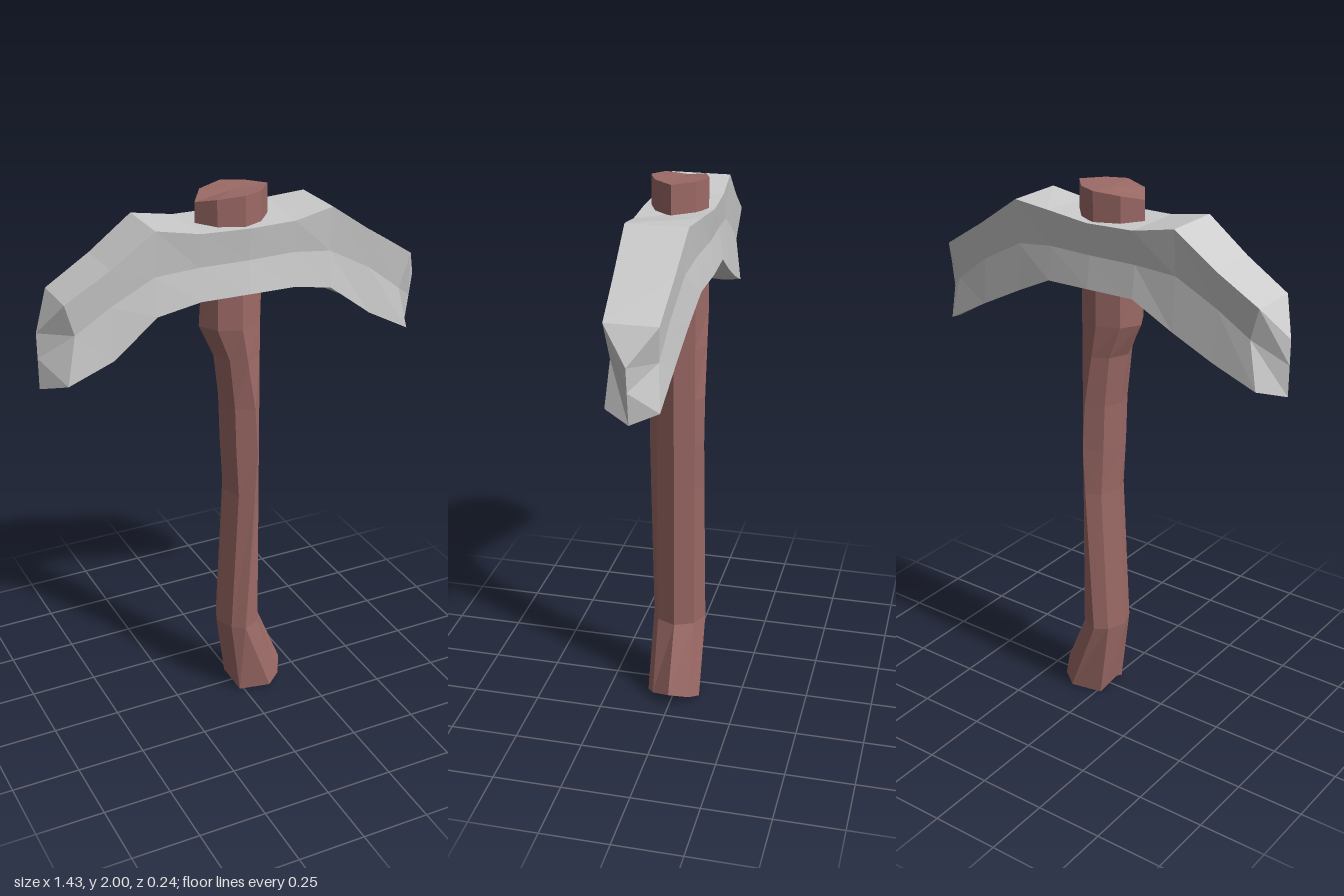
import * as THREE from 'three';

// Skins a list of equal-length rings with flat facets, optionally capping both ends.
function loft(rings, capped) {
  const pos = [];
  const tri = (a, b, c) => {
    const u = b.clone().sub(a), v = c.clone().sub(a);
    if (u.cross(v).length() > 1e-7) for (const p of [a, b, c]) pos.push(p.x, p.y, p.z);
  };
  const n = rings[0].length;
  for (let k = 0; k + 1 < rings.length; k++) {
    const a = rings[k], b = rings[k + 1];
    for (let i = 0; i < n; i++) {
      const j = (i + 1) % n;
      tri(a[i], a[j], b[j]);
      tri(a[i], b[j], b[i]);
    }
  }
  if (capped) {
    [rings[0], rings[rings.length - 1]].forEach((ring, end) => {
      const c = new THREE.Vector3();
      ring.forEach(p => c.addScaledVector(p, 1 / n));
      ring.forEach((p, i) => {
        const q = ring[(i + 1) % n];
        end ? tri(c, p, q) : tri(c, q, p);
      });
    });
  }
  const g = new THREE.BufferGeometry();
  g.setAttribute('position', new THREE.Float32BufferAttribute(pos, 3));
  g.computeVertexNormals();
  return g;
}

const V = (x, y, z) => new THREE.Vector3(x, y, z);

// Eight-sided handle ring from five x positions (left to right) and their heights.
function handleRing(xs, ys) {
  const z = [0, 0.07, 0.1, 0.07, 0];
  const y = i => (Array.isArray(ys) ? ys[i] : ys);
  const ring = [0, 1, 2, 3, 4].map(i => V(xs[i], y(i), z[i]));
  for (const i of [3, 2, 1]) ring.push(V(xs[i], y(i), -z[i]));
  return ring;
}

function createHandle() {
  return loft([
    handleRing([-0.04, -0.015, 0.1, 0.15, 0.19], [0.05, 0.005, 0.01, 0.03, 0.055]),
    handleRing([-0.08, -0.05, -0.005, 0.06, 0.09], 0.305),
    handleRing([-0.05, -0.02, 0.03, 0.06, 0.09], 0.87),
    handleRing([-0.055, -0.03, 0.04, 0.06, 0.09], 1.05),
    handleRing([-0.06, -0.035, 0.03, 0.06, 0.09], 1.22),
    handleRing([-0.085, -0.055, 0.0, 0.06, 0.09], 1.41),
    handleRing([-0.14, -0.1, -0.02, 0.06, 0.09], 1.53),
    handleRing([-0.13, -0.1, -0.02, 0.06, 0.1], 1.67),
    handleRing([-0.15, -0.1, -0.01, 0.06, 0.12], 1.9),
    handleRing([-0.15, -0.1, -0.01, 0.06, 0.12], [1.97, 1.99, 2, 2, 2]),
  ], true);
}

function createHead() {
  // x, top, middle, bottom, half depth, middle half depth, x of middle, back top, back bottom
  const section = (x, t, m, b, d, dm, xm = x, bt = t, bb = b) => [
    V(x, t, d), V(xm, m, dm), V(x, b, d),
    V(x, bb, -d), V(xm, m, -dm), V(x, bt, -d),
  ];
  // The end rings fold flat into a vertical chisel edge.
  const tip = (xt, t, xm, m, xb, b) => {
    const p = [V(xt, t, 0), V(xm, m, 0), V(xb, b, 0)];
    return [...p, p[2], p[1], p[0]];
  };
  return loft([
    tip(-0.72, 1.61, -0.72, 1.52, -0.72, 1.41),
    section(-0.65, 1.725, 1.61, 1.44, 0.09, 0.078, -0.615),
    section(-0.49, 1.82, 1.69, 1.505, 0.098, 0.085),
    section(-0.335, 1.93, 1.77, 1.635, 0.106, 0.092, -0.335, 1.93, 1.58),
    section(-0.18, 1.9, 1.78, 1.665, 0.115, 0.1),
    section(0, 1.895, 1.78, 1.665, 0.122, 0.106),
    section(0.17, 1.895, 1.78, 1.66, 0.115, 0.1, 0.17, 1.91),
    section(0.315, 1.92, 1.76, 1.63, 0.106, 0.092, 0.315, 1.92, 1.59),
    section(0.48, 1.805, 1.67, 1.505, 0.098, 0.085),
    section(0.645, 1.7, 1.57, 1.415, 0.09, 0.078, 0.61),
    tip(0.715, 1.585, 0.705, 1.5, 0.69, 1.385),
  ], false);
}

export function createModel() {
  const group = new THREE.Group();
  group.name = 'pickaxe';
  const add = (name, geometry, color) => {
    const mesh = new THREE.Mesh(geometry, new THREE.MeshStandardMaterial({ color, flatShading: true }));
    mesh.name = name;
    group.add(mesh);
  };
  add('handle', createHandle(), 0x9c6a66);
  add('head', createHead(), 0xcccccc);
  return group;
}
